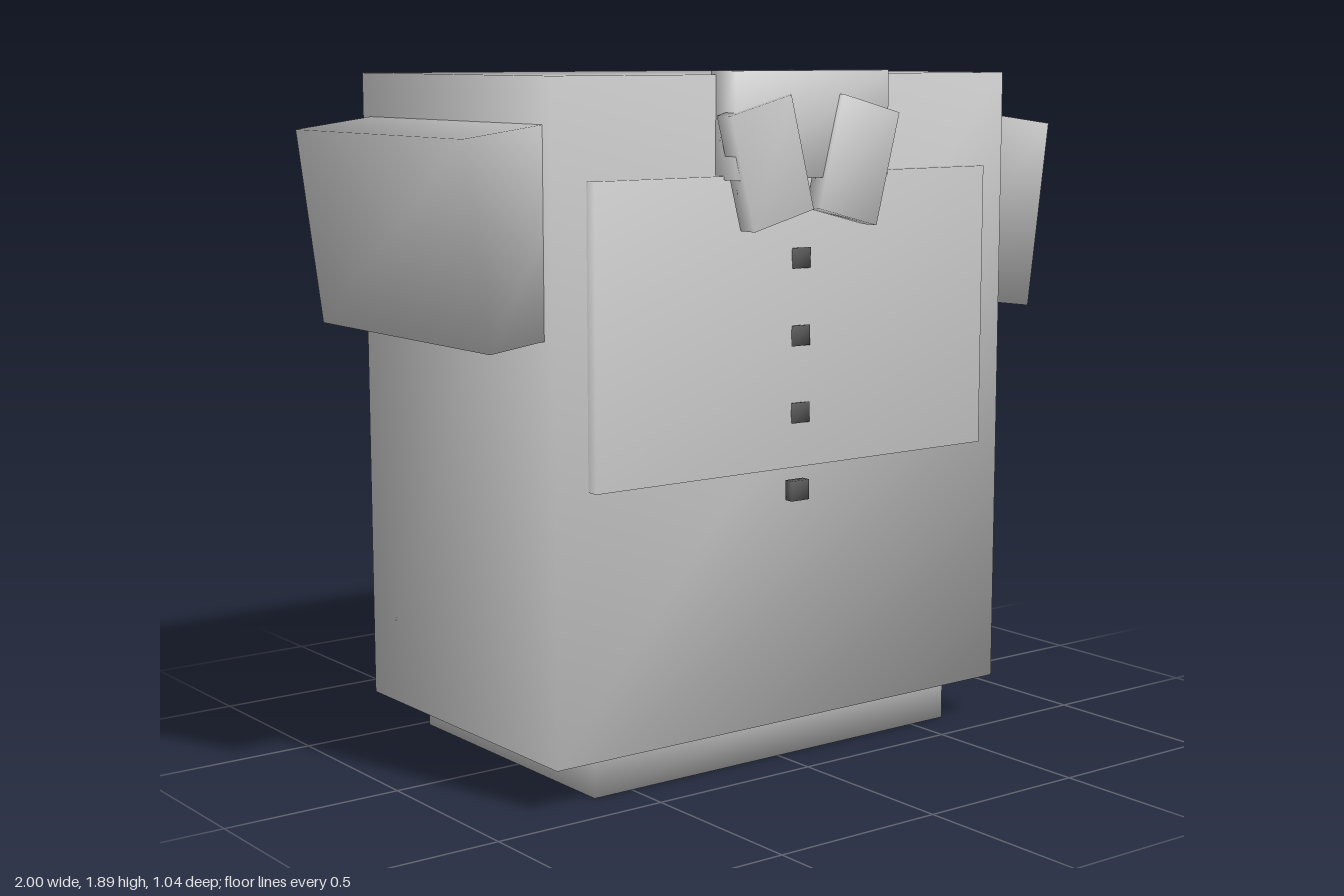
import * as THREE from 'three';
import { mergeVertices } from 'three/addons/utils/BufferGeometryUtils.js';

const grey = new THREE.MeshStandardMaterial({ color: 0xcccccc });
const dark = new THREE.MeshStandardMaterial({ color: 0x555555 });

// Box with shared corners, so that its shading is smooth across the edges
function block(name, size, position, tilt = 0, material = grey) {
  const box = new THREE.BoxGeometry(...size);
  box.deleteAttribute('normal');
  box.deleteAttribute('uv');
  const geometry = mergeVertices(box);
  geometry.computeVertexNormals();
  const mesh = new THREE.Mesh(geometry, material);
  mesh.name = name;
  mesh.position.set(...position);
  mesh.rotation.z = tilt;
  return mesh;
}

export function createModel() {
  const model = new THREE.Group();
  model.name = 'shirt';

  // Torso, waist below it, and the raised chest panel
  model.add(
    block('torso', [1.54, 1.765, 0.94], [0, 0.9975, -0.05]),
    block('waist', [1.24, 0.2, 0.845], [0, 0.1, -0.0525]),
    block('chestPanel', [1.334, 0.79, 0.09], [0, 1.225, 0.41]),
    block('collarBand', [0.52, 0.28, 0.105], [0, 1.75, 0.4525])
  );

  // Sleeves and collar flaps, mirrored left and right
  for (const [side, s] of [['left', 1], ['right', -1]]) {
    model.add(
      block(side + 'Sleeve', [0.4, 0.535, 0.86], [s * 0.767, 1.491, -0.05], -s * 0.131),
      block(side + 'CollarFlap', [0.205, 0.31, 0.06], [s * 0.149, 1.652, 0.49], -s * 0.255)
    );
  }

  // Row of buttons down the front
  const buttons = new THREE.Group();
  buttons.name = 'buttons';
  for (const y of [1.395, 1.187, 0.978, 0.765]) {
    buttons.add(block('button', [0.06, 0.055, 0.028], [0, y, 0.446], 0, dark));
  }
  model.add(buttons);

  return model;
}
